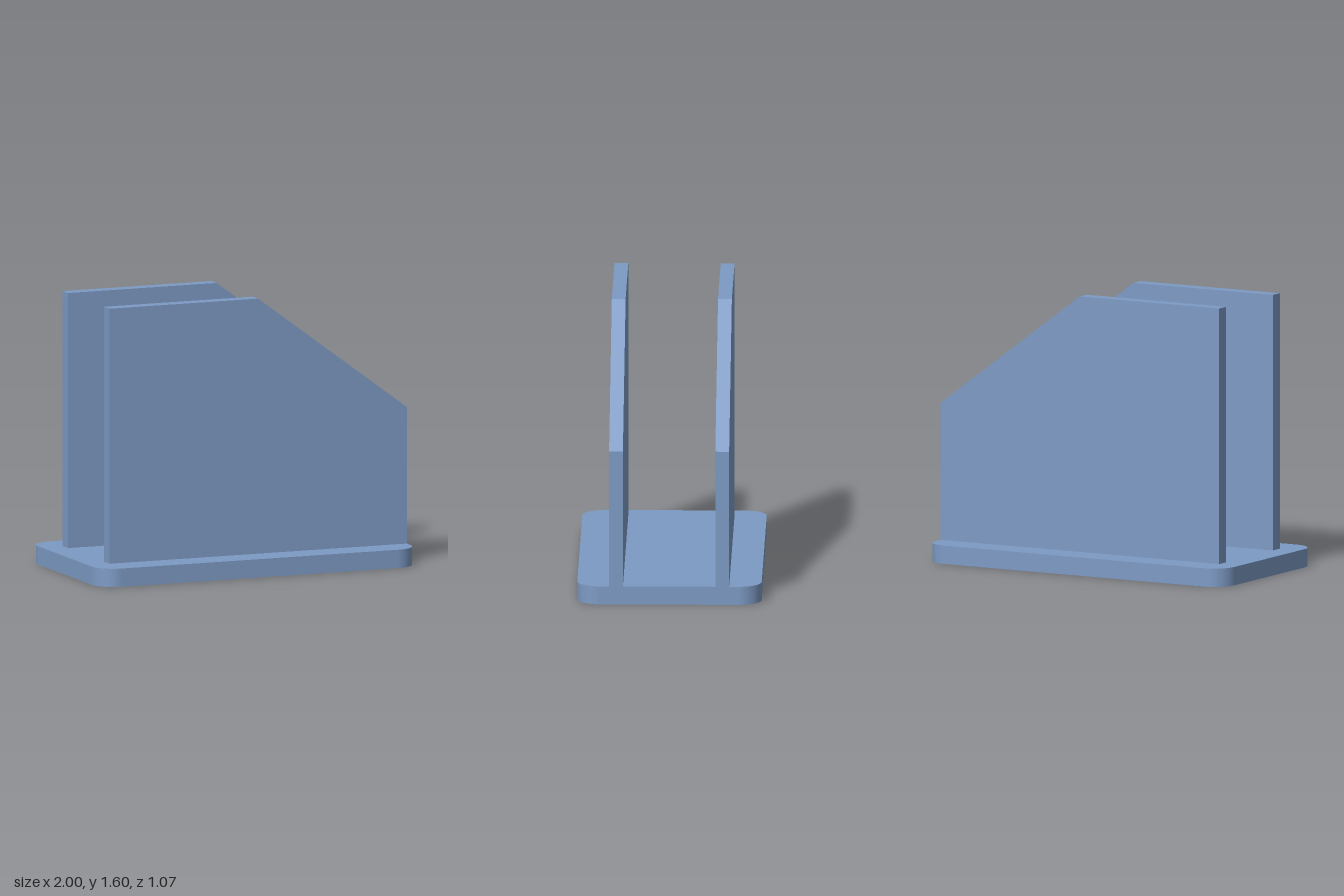
import * as THREE from 'three';

const BASE_HEIGHT = 0.107;

// Slab with rounded vertical corners, lying on y = 0
function baseGeometry(halfX, halfZ, radius) {
  const s = new THREE.Shape();
  s.absarc(halfX - radius, halfZ - radius, radius, 0, Math.PI / 2);
  s.absarc(-halfX + radius, halfZ - radius, radius, Math.PI / 2, Math.PI);
  s.absarc(-halfX + radius, -halfZ + radius, radius, Math.PI, Math.PI * 1.5);
  s.absarc(halfX - radius, -halfZ + radius, radius, Math.PI * 1.5, Math.PI * 2);
  const g = new THREE.ExtrudeGeometry(s, { depth: BASE_HEIGHT, bevelEnabled: false, curveSegments: 16 });
  return g.rotateX(-Math.PI / 2);
}

// Upright panel with one sloped top corner, centred on z = 0
function panelGeometry(thickness) {
  const outline = [[-0.867, BASE_HEIGHT], [1, BASE_HEIGHT], [1, 0.907], [0.067, 1.6], [-0.867, 1.6]];
  const s = new THREE.Shape(outline.map(([x, y]) => new THREE.Vector2(x, y)));
  const g = new THREE.ExtrudeGeometry(s, { depth: thickness, bevelEnabled: false });
  return g.translate(0, 0, -thickness / 2);
}

export function createModel() {
  const blue = new THREE.MeshStandardMaterial({ color: 0x7d9ac4 });
  blue.name = 'soft blue';
  const model = new THREE.Group();
  model.name = 'uprightHolder';

  // Base plate
  const base = new THREE.Mesh(baseGeometry(1, 0.533, 0.133), blue);
  base.name = 'basePlate';
  model.add(base);

  // Matching front and back panels
  const panel = panelGeometry(0.08);
  for (const [name, z] of [['frontPanel', 0.307], ['backPanel', -0.307]]) {
    const mesh = new THREE.Mesh(panel, blue);
    mesh.name = name;
    mesh.position.z = z;
    model.add(mesh);
  }
  return model;
}
